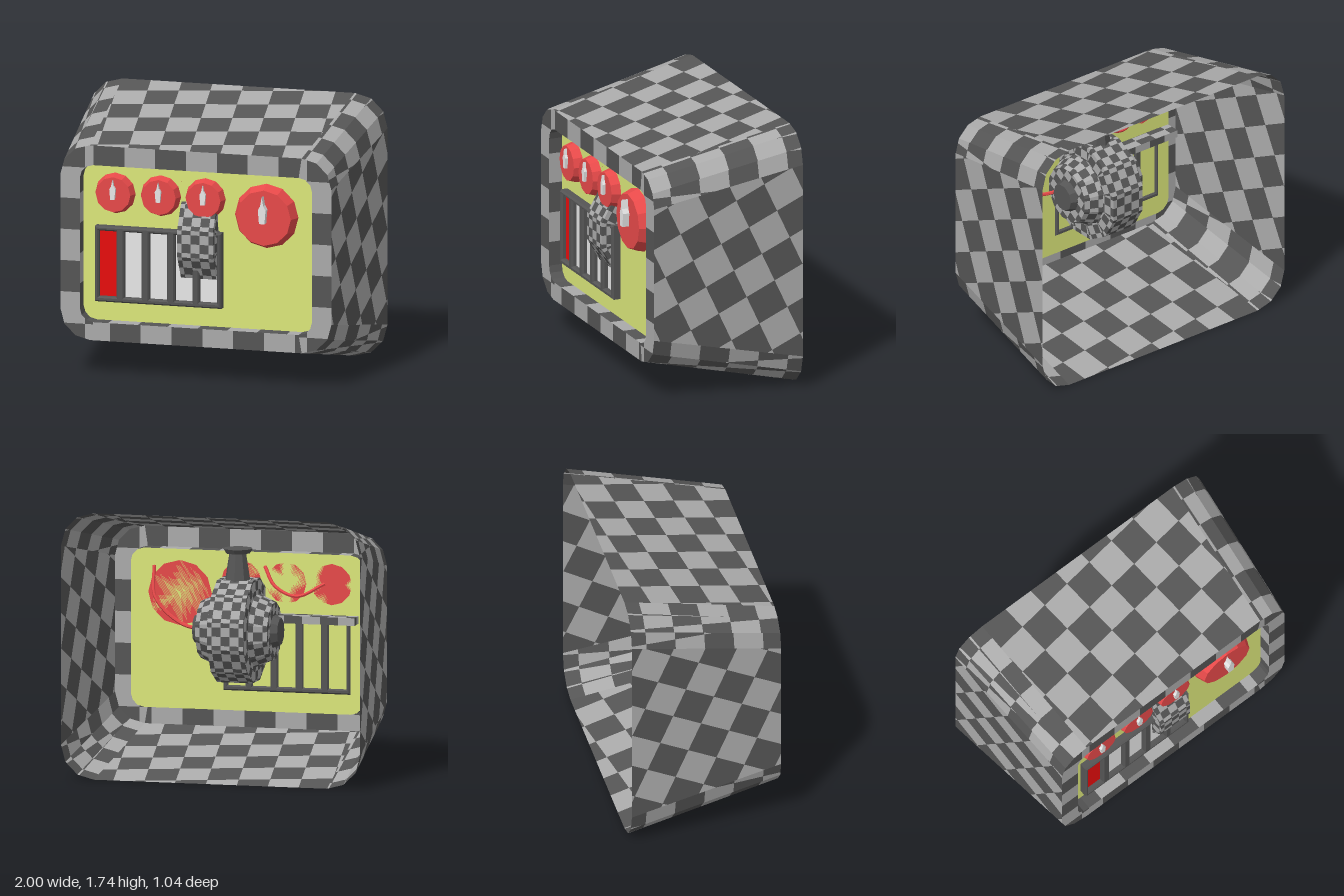
import * as THREE from 'three';

const mat = (name, color, side = THREE.FrontSide) => {
  const m = new THREE.MeshStandardMaterial({ color, side, flatShading: true });
  m.name = name;
  return m;
};
const V = (x, y, z) => new THREE.Vector3(x, y, z);

// Rounded rectangle outline at depth z, four points per corner, counter-clockwise
function ring(w, y0, y1, r, z) {
  const centres = [[w - r, y0 + r], [w - r, y1 - r], [r - w, y1 - r], [r - w, y0 + r]];
  const pts = [];
  centres.forEach(([cx, cy], c) => {
    for (let k = 0; k < 4; k++) {
      const t = (c - 1 + k / 3) * Math.PI / 2;
      pts.push(V(cx + r * Math.cos(t), cy + r * Math.sin(t), z));
    }
  });
  return pts;
}

// Quads joining two outlines of equal length
const band = (p, q) => p.map((v, i) => {
  const j = (i + 1) % p.length;
  return [v, p[j], q[j], q[i]];
});

// Keep the part of a convex polygon where f >= 0
function clip(poly, f) {
  const out = [];
  poly.forEach((p, i) => {
    const q = poly[(i + 1) % poly.length], a = f(p), b = f(q);
    if (a >= 0) out.push(p);
    if ((a >= 0) !== (b >= 0)) out.push(p.clone().lerp(q, a / (a - b)));
  });
  return out;
}

// Cut one convex polygon into alternating tiles; a and b are the tile edges, o the centre of a dark tile
function cutTiles(poly, a, b, o, lists) {
  const coord = (axis) => (p) => p.clone().sub(o).dot(axis) / axis.lengthSq() + 0.5;
  const ca = coord(a), cb = coord(b);
  const span = (f) => { const s = poly.map(f); return [Math.floor(Math.min(...s)), Math.ceil(Math.max(...s))]; };
  const [a0, a1] = span(ca), [b0, b1] = span(cb);
  for (let i = a0; i < a1; i++) {
    const strip = clip(clip(poly, (p) => ca(p) - i), (p) => i + 1 - ca(p));
    for (let j = b0; j < b1; j++) {
      const tile = clip(clip(strip, (p) => cb(p) - j), (p) => j + 1 - cb(p));
      const list = lists[Math.abs(i + j) % 2];
      for (let k = 2; k < tile.length; k++)
        for (const p of [tile[0], tile[k - 1], tile[k]]) list.push(p.x, p.y, p.z);
    }
  }
}

// Checkered mesh; pattern(i) may return [a, b, o], otherwise tiles follow each face
function checkered(name, polys, size, mats, pattern = () => null) {
  const lists = [[], []];
  polys.forEach((poly, i) => {
    let axes = pattern(i);
    if (!axes) {
      const u = poly[1].clone().sub(poly[0]).normalize();
      const n = u.clone().cross(poly[2].clone().sub(poly[0])).normalize();
      axes = [u.clone().multiplyScalar(size), n.cross(u).multiplyScalar(size), poly[0]];
    }
    cutTiles(poly, ...axes, lists);
  });
  const g = new THREE.BufferGeometry();
  g.setAttribute('position', new THREE.Float32BufferAttribute(lists.flat(), 3));
  g.addGroup(0, lists[0].length / 3, 0);
  g.addGroup(lists[0].length / 3, lists[1].length / 3, 1);
  g.computeVertexNormals();
  const mesh = new THREE.Mesh(g, mats);
  mesh.name = name;
  return mesh;
}

// Six faces of a box as polygons
function boxFaces(x0, x1, y0, y1, z0, z1) {
  const lo = [V(x0, y0, z0), V(x0, y0, z1), V(x1, y0, z1), V(x1, y0, z0)];
  const hi = lo.map((p) => V(p.x, y1, p.z));
  return [...band(lo, hi), hi, [...lo].reverse()];
}

export function createModel() {
  const root = new THREE.Group();
  const D = THREE.DoubleSide;
  const dark = mat('dark grey', 0x555555, D), light = mat('light grey', 0xaaaaaa, D);
  const yellow = mat('panel yellow', 0xf2ff87, D), red = mat('dial red', 0xff5252);
  const bright = mat('bright red', 0xff1010), white = mat('white', 0xffffff);
  const tiles = [dark, light];
  const add = (name, geo, m, x = 0, y = 0, z = 0, parent = root) => {
    const mesh = new THREE.Mesh(geo, m);
    mesh.name = name;
    mesh.position.set(x, y, z);
    parent.add(mesh);
    return mesh;
  };

  // Open-backed tapering case
  const back = ring(1, 0, 1.74, 0.22, -0.52), front = ring(0.91, 0.23, 1.52, 0.2, 0.49);
  const lip = ring(0.78, 0.35, 1.39, 0.09, 0.49), inner = ring(0.78, 0.35, 1.39, 0.09, 0.4);
  const sideTiles = [V(0, -0.186, -0.092), V(0, -0.088, 0.192), V(0, 1.37, 0.07)];
  const flatTiles = [V(0.203, 0, -0.027), V(0.027, 0, 0.203), V(-0.684, 0, -0.455)];
  root.add(checkered('case', band(back, front), 0.2, tiles,
    (i) => (i === 3 || i === 11 ? sideTiles : i === 7 || i === 15 ? flatTiles : null)));

  // Front frame and its recessed edge
  const ax = V(0.207, 0, 0), ay = V(0, 0.207, 0);
  root.add(checkered('frontFrame', band(front, lip), 0.2, tiles, (i) => {
    if (i === 7) return [ax, ay, V(-0.17, 1.47, 0)];
    if (i === 15) return [ax, ay, V(-0.06, 0.29, 0)];
    return [ax, ay, V(i < 8 ? 0.85 : -0.85, 1.06, 0)];
  }));
  root.add(checkered('frameRecess', band(lip, inner), 0.2, tiles));

  // Control panel
  const outline = new THREE.Shape(inner.map((p) => new THREE.Vector2(p.x, p.y)));
  add('controlPanel', new THREE.ShapeGeometry(outline), yellow, 0, 0, 0.4);

  // Dials with raised pointers
  const dial = (x, y, r, depth, half, top, raise) => {
    const g = new THREE.Group();
    g.name = 'dial';
    g.position.set(x, y, 0.4);
    const knob = new THREE.CylinderGeometry(r * 0.86, r, depth, 12).rotateX(Math.PI / 2);
    add('knob', knob, red, 0, 0, depth / 2, g);
    const s = new THREE.Shape([[-half * 0.7, -0.03], [half * 0.7, -0.03], [half, top * 0.4], [half * 0.4, top * 0.6],
      [0, top], [-half * 0.4, top * 0.6], [-half, top * 0.4]].map((p) => new THREE.Vector2(...p)));
    add('pointer', new THREE.ExtrudeGeometry(s, { depth: raise, bevelEnabled: false }), white, 0, 0, depth, g);
    root.add(g);
  };
  for (const x of [-0.565, -0.26, 0.04]) dial(x, 1.195, 0.135, 0.06, 0.02, 0.1, 0.02);
  dial(0.45, 1.105, 0.213, 0.075, 0.026, 0.15, 0.045);

  // Key bank: bevelled surround with five openings
  const rect = (C, x0, x1, y0, y1) => new C([[x0, y0], [x1, y0], [x1, y1], [x0, y1]].map((p) => new THREE.Vector2(...p)));
  const surround = rect(THREE.Shape, -0.68, 0.15, 0.49, 0.97);
  [-0.665, -0.495, -0.325, -0.155, 0.01].forEach((x, i) => {
    surround.holes.push(rect(THREE.Path, x - 0.008, x + 0.128, 0.505, 0.96));
    add('key', new THREE.BoxGeometry(0.12, 0.445, 0.02), i ? white : bright, x + 0.06, 0.7325, 0.412);
  });
  add('keySurround', new THREE.ExtrudeGeometry(surround,
    { depth: 0.045, bevelThickness: 0.012, bevelSize: 0.01, bevelSegments: 1 }), dark, 0, 0, 0.4);

  // Large wheel whose rim pokes through the panel
  const wheelRing = (x, r) => Array.from({ length: 12 }, (_, i) => {
    const t = (i + 0.5) * Math.PI / 6;
    return V(x, 0.91 + r * Math.sin(t), 0.178 + r * Math.cos(t));
  });
  const rings = [[-0.24, 0.19], [-0.125, 0.24], [-0.12, 0.345], [0.12, 0.345], [0.125, 0.24], [0.24, 0.19]]
    .map(([x, r]) => wheelRing(x, r));
  const wheelFaces = [rings[0], rings[5]];
  for (let i = 0; i < 5; i++) wheelFaces.push(...band(rings[i], rings[i + 1]));
  root.add(checkered('wheel', wheelFaces, 0.06, tiles));
  for (const s of [-1, 1])
    add('wheelHub', new THREE.CylinderGeometry(0.09, 0.11, 0.05, 10).rotateZ(-s * Math.PI / 2), dark, s * 0.26, 0.91, 0.17);

  // Post above the wheel, and the side arm
  add('post', new THREE.CylinderGeometry(0.055, 0.09, 0.22, 8), dark, 0, 1.31, 0.16);
  add('postCap', new THREE.CylinderGeometry(0.1, 0.08, 0.03, 8), dark, 0, 1.43, 0.16);
  root.add(checkered('sideArm', boxFaces(-0.75, -0.1, 0.95, 1.0, 0.27, 0.37), 0.12, tiles));

  // Red wires behind the panel
  const wire = (pts) => add('wire', new THREE.TubeGeometry(
    new THREE.CatmullRomCurve3(pts.map((p) => V(...p))), 20, 0.012, 6), red);
  wire([[0.62, 1.28, 0.39], [0.6, 1.08, 0.34], [0.4, 0.91, 0.31], [0.1, 0.9, 0.25]]);
  wire([[-0.12, 1.3, 0.39], [-0.2, 1.18, 0.34], [-0.35, 1.12, 0.33], [-0.52, 1.2, 0.39]]);
  return root;
}
